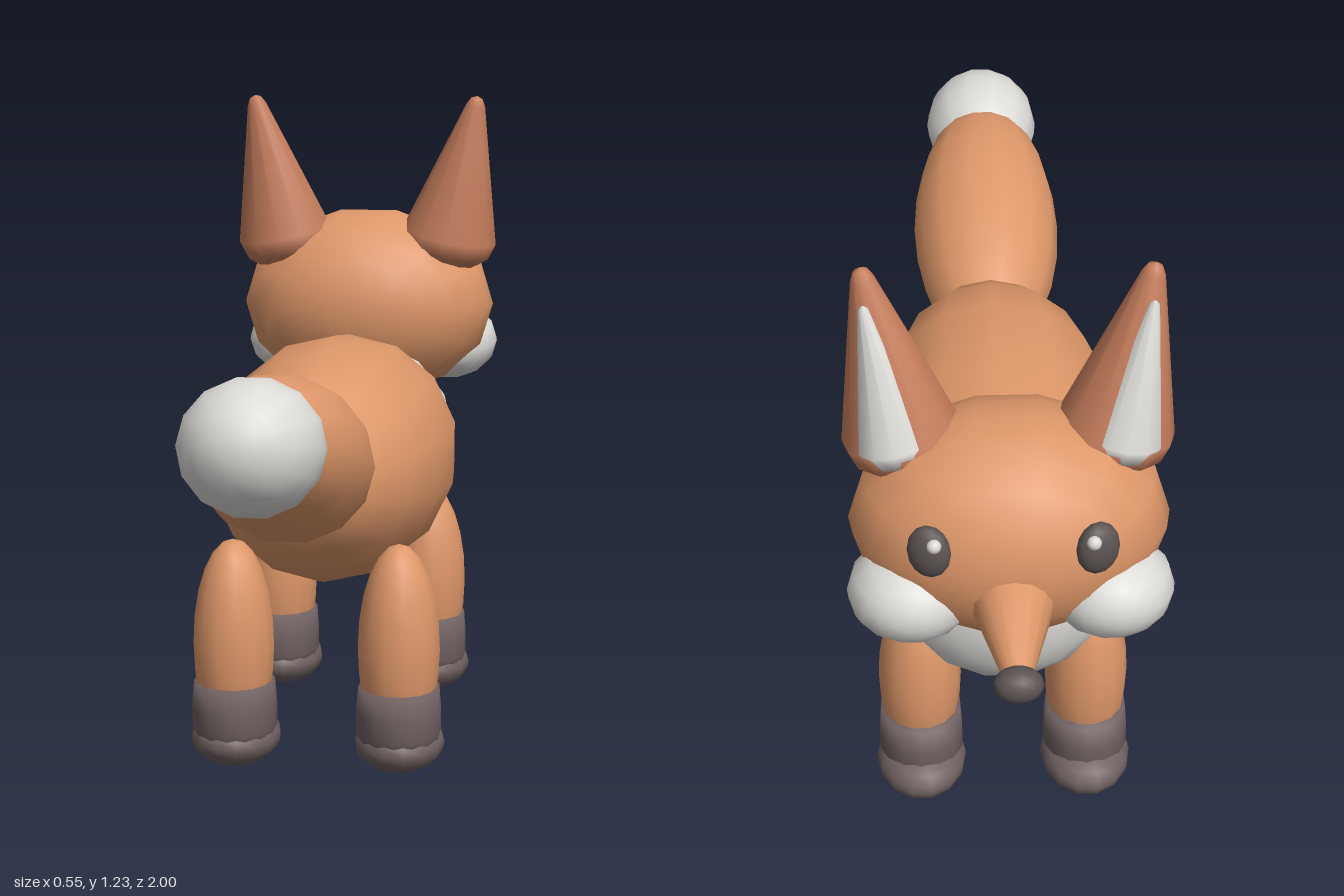
import * as THREE from 'three';

const mat = (name, color) => {
  const m = new THREE.MeshStandardMaterial({ color });
  m.name = name;
  return m;
};

export function createModel() {
  const orange = mat('orange fur', 0xde9769);
  const rust = mat('rust ear fur', 0xc57d5c);
  const white = mat('white fur', 0xdddbd7);
  const dark = mat('dark sock', 0x6f6060);
  const black = mat('dark eye and nose', 0x5c5453);

  const root = new THREE.Group();
  root.name = 'fox';

  const add = (name, geo, material, pos, parent = root) => {
    const m = new THREE.Mesh(geo, material);
    m.name = name;
    m.position.set(...pos);
    parent.add(m);
    return m;
  };
  // Ellipsoid with its poles along z
  const blob = (name, material, pos, [rx, ry, rz], tilt = 0, parent = root) => {
    const geo = new THREE.SphereGeometry(1, 14, 12).rotateX(Math.PI / 2).scale(rx, ry, rz);
    const m = add(name, geo, material, pos, parent);
    m.rotation.x = tilt;
    return m;
  };
  const lathe = (points, segments = 14) =>
    new THREE.LatheGeometry(points.map(p => new THREE.Vector2(...p)), segments);
  const aim = (m, x, y, z) =>
    m.quaternion.setFromUnitVectors(new THREE.Vector3(0, 1, 0), new THREE.Vector3(x, y, z).normalize());

  // Body: full barrel along z, blunter than an ellipsoid
  const bodyGeo = lathe([[0, -0.46], [0.07, -0.445], [0.14, -0.39], [0.19, -0.3], [0.222, -0.18], [0.235, 0],
    [0.222, 0.18], [0.185, 0.3], [0.13, 0.39], [0.07, 0.44], [0, 0.455]]).rotateX(Math.PI / 2);
  add('body', bodyGeo, orange, [0, 0.55, -0.1]).rotation.x = -0.06;
  blob('chest', white, [0, 0.53, -0.445], [0.2, 0.198, 0.155]);

  // Tail
  blob('tail', orange, [0, 0.665, 0.55], [0.15, 0.14, 0.33], -0.31);
  blob('tailTip', white, [0, 0.745, 0.865], [0.118, 0.112, 0.137], -0.2);

  // Head and snout
  const head = new THREE.Group();
  head.name = 'head';
  root.add(head);
  blob('skull', orange, [0, 0.79, -0.605], [0.268, 0.202, 0.197], 0, head);
  const snout = add('snout', lathe([[0.085, 0], [0.065, 0.07], [0.022, 0.23], [0, 0.24]]), orange,
    [0, 0.74, -0.72], head);
  aim(snout, 0, -0.015, -0.23);
  blob('nose', black, [0, 0.732, -0.97], [0.04, 0.03, 0.03], 0, head);

  for (const s of [1, -1]) {
    const side = s > 0 ? 'left' : 'right';
    blob(side + 'Cheek', white, [s * 0.165, 0.7, -0.685], [0.107, 0.083, 0.113], 0.15, head);

    // Ear with pale inner cone facing forward
    const ear = add(side + 'Ear',
      lathe([[0, -0.04], [0.06, -0.025], [0.09, 0], [0.1, 0.035], [0.02, 0.315], [0.012, 0.33], [0, 0.335]], 12),
      rust, [s * 0.17, 0.905, -0.57], head);
    aim(ear, s * 0.065, 0.325, 0.03);
    const inner = add(side + 'InnerEar', lathe([[0, -0.02], [0.05, -0.01], [0.066, 0.02], [0.008, 0.26], [0, 0.265]], 12),
      white, [s * 0.183, 0.925, -0.61], head);
    aim(inner, s * 0.05, 0.26, 0.035);

    // Eye with highlight
    blob(side + 'Eye', black, [s * 0.135, 0.845, -0.775], [0.037, 0.048, 0.025], 0, head).rotation.y = -s * 0.4;
    blob(side + 'EyeGlint', white, [s * 0.127, 0.87, -0.795], [0.012, 0.012, 0.012], 0, head);

    // Legs, socks and paws
    for (const [end, z] of [['Front', -0.368], ['Rear', 0.185]]) {
      const leg = new THREE.Group();
      leg.name = side + end + 'Leg';
      leg.position.set(s * 0.156, 0, z);
      root.add(leg);
      add('upperLeg', new THREE.SphereGeometry(1, 14, 12).scale(0.077, 0.2, 0.084), orange, [0, 0.24, 0], leg);
      const sock = lathe([[0, 0.04], [0.07, 0.05], [0.08, 0.08], [0.08, 0.12], [0.076, 0.168], [0, 0.172]]);
      add('sock', sock.scale(1, 1, 1.16), dark, [0, 0, -0.006], leg);
      add('paw', new THREE.SphereGeometry(1, 14, 12).scale(0.085, 0.053, 0.112), dark, [0, 0.055, -0.022], leg);
    }
  }
  return root;
}
